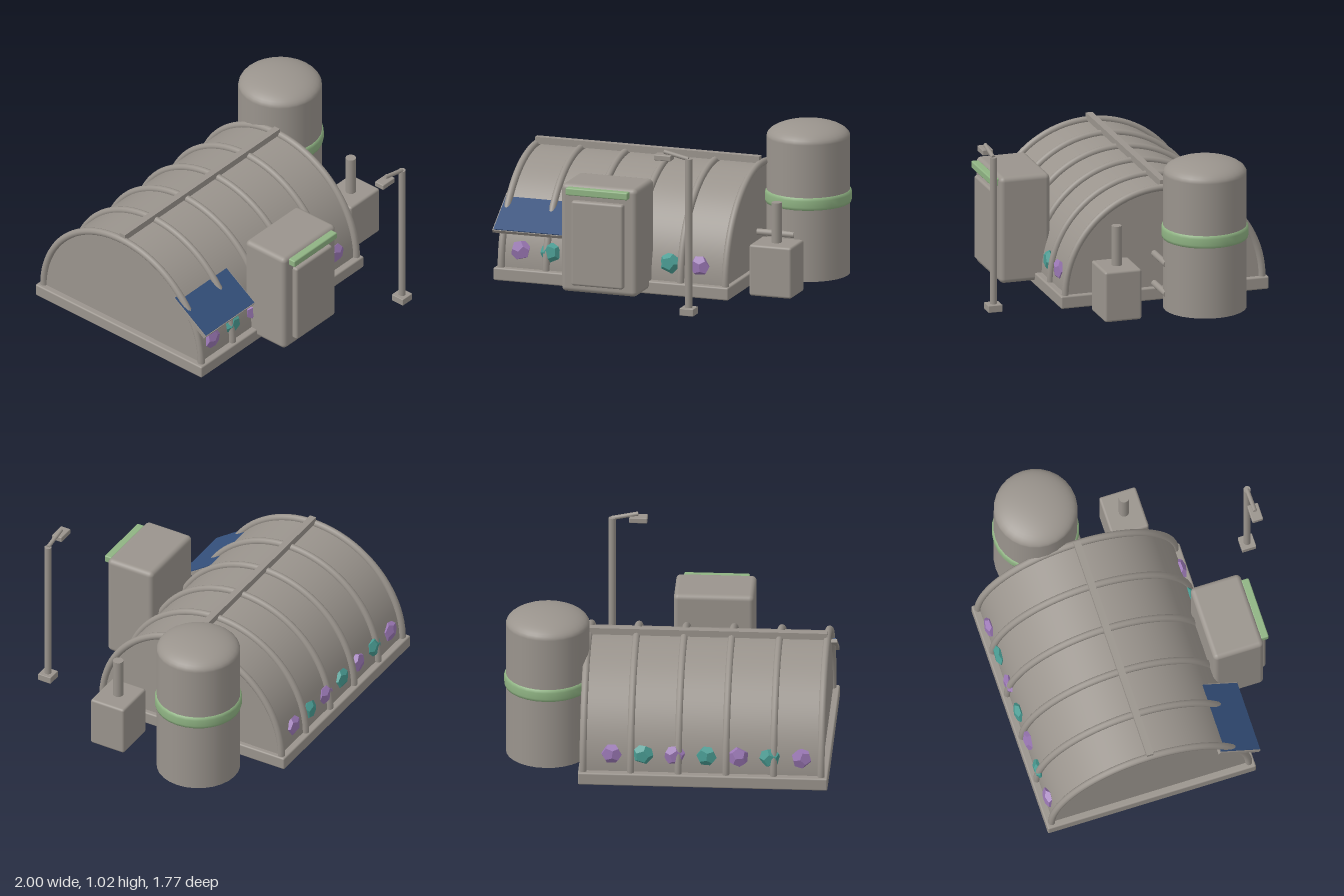
import * as THREE from 'three';
import { RoundedBoxGeometry } from 'three/addons/geometries/RoundedBoxGeometry.js';

const mat = (name, color, extra = {}) => {
  const m = new THREE.MeshStandardMaterial({ color, ...extra });
  m.name = name;
  return m;
};

export function createModel() {
  const grey = mat('warm grey', 0x9a948d);
  const green = mat('sage green', 0x8fb383);
  const blue = mat('panel blue', 0x34507c);
  const purple = mat('crystal purple', 0x9b78b5, { flatShading: true });
  const teal = mat('crystal teal', 0x4a9c93, { flatShading: true });

  const model = new THREE.Group();
  model.name = 'habitat';

  const add = (name, geo, material, x, y, z, parent = model) => {
    const mesh = new THREE.Mesh(geo, material);
    mesh.name = name;
    mesh.position.set(x, y, z);
    parent.add(mesh);
    return mesh;
  };
  const group = (name, x, y, z) => {
    const g = new THREE.Group();
    g.name = name;
    g.position.set(x, y, z);
    model.add(g);
    return g;
  };
  const rbox = (w, h, d, r) => new RoundedBoxGeometry(w, h, d, 3, r);
  const rod = (r, len) => new THREE.CylinderGeometry(r, r, len, 16);

  // Foundation and vaulted shell
  const cz = -0.225, floor = 0.08;
  add('foundation', rbox(1.52, floor, 1.33, 0.01), grey, -0.24, floor / 2, cz);
  const vault = new THREE.CylinderGeometry(0.622, 0.622, 1.45, 56, 1, false, 0, Math.PI);
  vault.rotateZ(Math.PI / 2);
  add('vault', vault, grey, -0.235, floor - 0.005, cz);

  // Arched ribs and ridge beam
  const ribGeo = new THREE.TorusGeometry(0.63, 0.022, 10, 48, Math.PI);
  ribGeo.rotateY(Math.PI / 2);
  for (let i = 0; i < 6; i++) add('rib', ribGeo, grey, -0.96 + i * 0.29, floor - 0.005, cz);
  add('ridgeBeam', new THREE.BoxGeometry(1.45, 0.042, 0.042), grey, -0.238, 0.729, cz);

  // Crystals along both long sides
  const gem = new THREE.DodecahedronGeometry(0.066, 0);
  for (const side of [1, -1]) {
    for (let i = 0; i < 7; i++) {
      const g = group('crystal', -0.84 + i * 0.193, 0.19, cz + side * 0.612);
      g.scale.z = 0.5;
      const c = add('crystalStone', gem, i % 2 ? teal : purple, 0, 0, 0, g);
      c.rotation.set(i * 1.1 + 0.4, i * 0.7, i * 1.7 + 0.3);
    }
  }

  // Airlock with door and light bar
  add('airlock', rbox(0.49, 0.675, 0.32, 0.03), grey, -0.237, 0.365, 0.5);
  add('door', rbox(0.335, 0.53, 0.06, 0.015), grey, -0.237, 0.343, 0.665);
  add('lightBar', rbox(0.4, 0.046, 0.05, 0.008), green, -0.237, 0.666, 0.678);

  // Sloped solar panel
  const panel = group('solarPanel', -0.763, 0.4, 0.335);
  panel.rotation.x = 0.6;
  add('panelFrame', new THREE.BoxGeometry(0.465, 0.022, 0.31), grey, 0, 0, 0, panel);
  add('panelCells', new THREE.BoxGeometry(0.45, 0.008, 0.3), blue, 0, 0.013, 0, panel);

  // Storage tank with low domed cap
  const tank = group('tank', 0.73, 0, -0.41);
  const profile = [new THREE.Vector2(0.255, 0), new THREE.Vector2(0.255, 0.855)];
  add('tankBody', new THREE.LatheGeometry(profile, 28), grey, 0, 0, 0, tank);
  const cap = add('tankCap', new THREE.SphereGeometry(0.255, 28, 12, 0, Math.PI * 2, 0, Math.PI / 2), grey, 0, 0.855, 0, tank);
  cap.scale.y = 0.37;
  const bottom = new THREE.CircleGeometry(0.255, 28);
  bottom.rotateX(Math.PI / 2);
  add('tankBottom', bottom, grey, 0, 0.001, 0, tank);
  const band = [[0.25, -0.04], [0.261, -0.038], [0.266, -0.02], [0.266, 0.02], [0.261, 0.038], [0.25, 0.04]];
  add('tankBand', new THREE.LatheGeometry(band.map(p => new THREE.Vector2(...p)), 28), green, 0, 0.486, 0, tank);

  // Feed pipes between vault and tank
  for (const y of [0.1, 0.29]) {
    const pipe = add('feedPipe', rod(0.02, 0.25), grey, 0.605, y, -0.165);
    pipe.rotation.z = Math.PI / 2;
  }

  // Generator box with exhaust
  add('generator', rbox(0.272, 0.32, 0.235, 0.015), grey, 0.73, 0.16, 0.155);
  add('exhaust', rod(0.032, 0.27), grey, 0.73, 0.435, 0.155);

  // Lamp post
  const lamp = group('lampPost', 0.41, 0, 0.838);
  add('lampFoot', rbox(0.09, 0.045, 0.09, 0.004), grey, 0, 0.0225, 0, lamp);
  add('lampPole', rod(0.022, 0.94), grey, 0, 0.505, 0, lamp);
  const arm = add('lampArm', rod(0.013, 0.16), grey, -0.08, 0.991, 0, lamp);
  arm.rotation.z = Math.PI / 2 - 0.21;
  add('lampHead', rbox(0.11, 0.036, 0.068, 0.006), grey, -0.16, 0.974, 0, lamp);

  return model;
}
